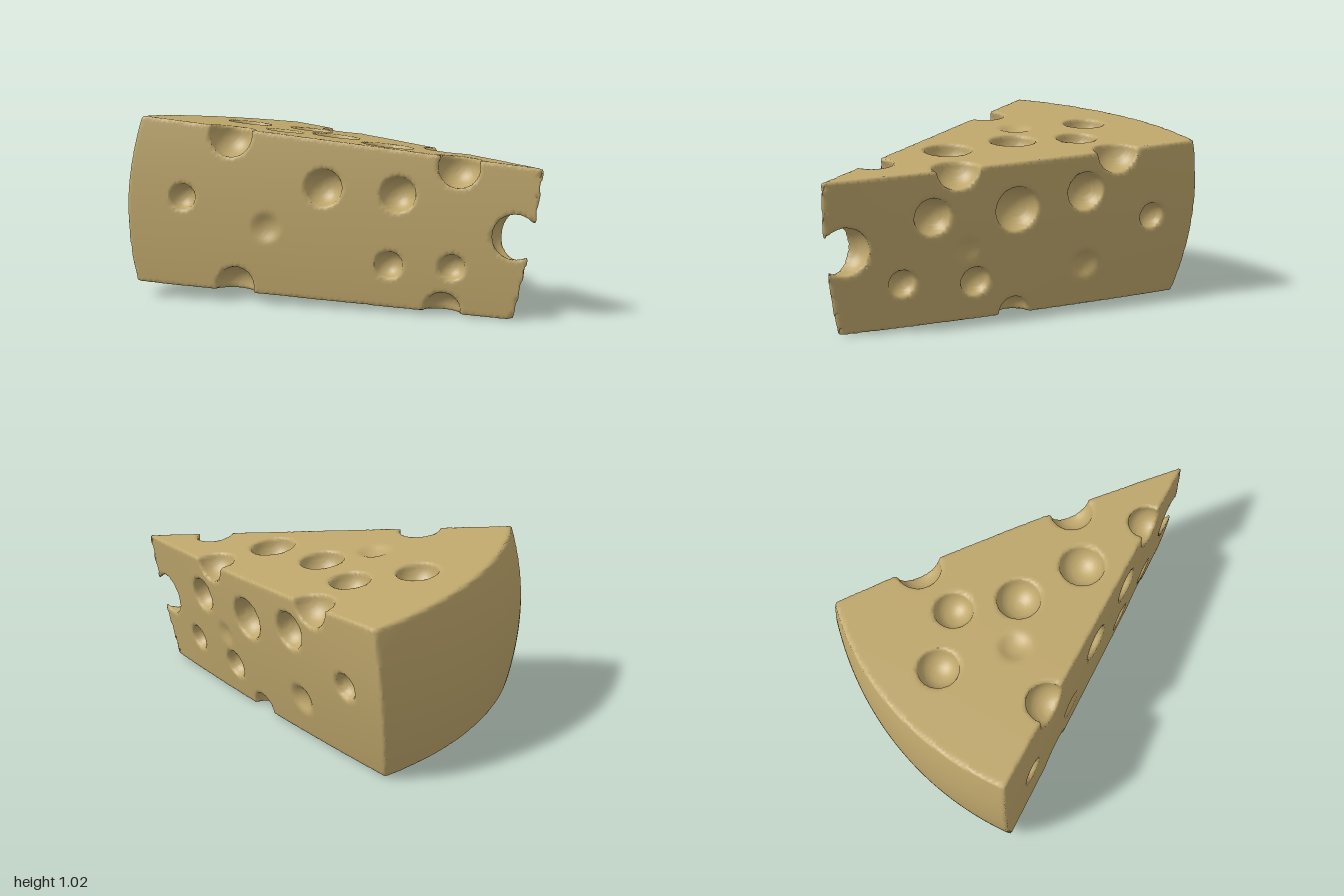
import * as THREE from 'three';

// Flat sides of the wedge as [nx, ny, nz, offset]; the whole block leans a little
const plane = (nx, ny, nz, d) => {
  const l = Math.hypot(nx, ny, nz);
  return [nx / l, ny / l, nz / l, d / l];
};
const TOP = plane(0.118, 1, 0, 0.914);
const BOTTOM = plane(-0.06, -1, 0.022, -0.032);
const FRONT = plane(-0.583, 0.045, 1, 0.4925);
const RIGHT = plane(1, -0.135, -0.385, 0.491);

// How far the cut sides swell out from their planes
function swell(side, y, z) {
  const v = ((y - 0.5) / 0.45) ** 2;
  if (side === FRONT) return -0.021 * v;
  if (side === RIGHT) return 0.028 * Math.max(0, 1 - z * z) + (0.5 - 0.5 * z) * (0.014 - 0.032 * v);
  return 0;
}

// Bubbles: [x, y, z, radius]
const holes = [];
// Puts a bubble on a side, lifted out along its normal; a lifted one leaves a shallow dent
function bubble(side, x, y, z, r, lift = 0) {
  const [nx, ny, nz, d] = side;
  const move = d - (nx * x + ny * y + nz * z) + swell(side, y, z) + lift;
  holes.push([x + nx * move, y + ny * move, z + nz * move, r]);
}

// Front side: x, y, radius, lift
for (const [x, y, r, lift] of [
  [-0.715, 0.58, 0.072], [-0.02, 0.66, 0.1], [0.33, 0.64, 0.094], [0.285, 0.26, 0.073],
  [0.575, 0.265, 0.068], [-0.3, 0.43, 0.13, 0.105],
]) bubble(FRONT, x, y, 0.4925 + 0.583 * x - 0.045 * y, r, lift);

// Right side: z, y, radius, lift
for (const [z, y, r, lift] of [
  [0.49, 0.585, 0.097], [0.05, 0.59, 0.12], [-0.33, 0.655, 0.105], [-0.73, 0.48, 0.073],
  [0.645, 0.245, 0.072], [0.27, 0.215, 0.08], [-0.34, 0.24, 0.12, 0.085], [0.31, 0.4, 0.13, 0.115],
]) bubble(RIGHT, 0.491 + 0.385 * z + 0.135 * y, y, z, r, lift);

// Top and bottom share one pattern: x, z, radius, lift
for (const [x, z, r, lift] of [
  [-0.212, -0.428, 0.113], [0.135, -0.335, 0.108], [0.182, 0.025, 0.122], [0.37, 0.39, 0.125],
  [-0.11, -0.015, 0.14, 0.11],
]) {
  bubble(TOP, x, 0.914 - 0.118 * x, z, r, lift);
  bubble(BOTTOM, x - 0.01, 0.032 - 0.06 * x, z, r * 0.9, lift && lift * 0.9);
}

// Bubbles that break the edges
holes.push(
  [-0.45, 0.925, 0.14, 0.12], [0.625, 0.79, 0.78, 0.11],
  [-0.45, 0.095, 0.2, 0.105], [0.54, 0.03, 0.78, 0.095],
  [0.73, 0.835, 0.36, 0.12], [0.41, 0.865, -0.52, 0.125],
  [0.535, 0.015, 0.05, 0.084], [0.885, 0.44, 0.925, 0.125],
);

// Maximum with a softly rounded crease
function softMax(a, b, k) {
  const h = Math.max(k - Math.abs(a - b), 0);
  return Math.max(a, b) + (h * h) / (4 * k);
}

// Signed distance to the cheese, negative inside
function field(x, y, z) {
  // Barrel-shaped rind
  const radius = 1.73 - 0.29 * (y - 0.59) ** 2;
  let d = Math.hypot(x - 0.535 - 0.06 * (y - 0.5), z - 0.69) - radius;
  for (const side of [TOP, BOTTOM, FRONT, RIGHT]) {
    const [nx, ny, nz, o] = side;
    d = softMax(d, nx * x + ny * y + nz * z - o - swell(side, y, z), 0.01);
  }
  for (const [hx, hy, hz, r] of holes) {
    const cut = r - Math.hypot(x - hx, y - hy, z - hz);
    if (cut > d - 0.015) d = softMax(d, cut, 0.015);
  }
  return d;
}

// Skins the field: one vertex per crossed cell, one quad per crossed grid edge
function skin(step, min, size) {
  const [nx, ny, nz] = size;
  const stride = [1, nx, nx * ny];
  const values = new Float32Array(nx * ny * nz);
  const at = (i, a) => min[a] + i * step;
  for (let k = 0, n = 0; k < nz; k++)
    for (let j = 0; j < ny; j++)
      for (let i = 0; i < nx; i++) values[n++] = field(at(i, 0), at(j, 1), at(k, 2));

  const positions = [], indices = [];
  const cellVertex = new Int32Array(values.length).fill(-1);
  const e = 0.002;
  for (let k = 0; k < nz - 1; k++)
    for (let j = 0; j < ny - 1; j++)
      for (let i = 0; i < nx - 1; i++) {
        const cell = i + j * stride[1] + k * stride[2];
        const p = [0, 0, 0];
        let count = 0;
        // Average the crossings on the twelve cell edges
        for (let c = 0; c < 8; c++) {
          const o = [c & 1, (c >> 1) & 1, c >> 2];
          const n = cell + o[0] + o[1] * stride[1] + o[2] * stride[2];
          for (let a = 0; a < 3; a++) {
            if (o[a]) continue;
            const v = values[n], w = values[n + stride[a]];
            if ((v < 0) === (w < 0)) continue;
            for (let b = 0; b < 3; b++) p[b] += o[b] + (b === a ? v / (v - w) : 0);
            count++;
          }
        }
        if (!count) continue;
        let [x, y, z] = [i, j, k].map((g, a) => at(g + p[a] / count, a));
        // Pull the vertex onto the surface
        for (let s = 0; s < 3; s++) {
          const f = field(x, y, z);
          const gx = (field(x + e, y, z) - field(x - e, y, z)) / (2 * e);
          const gy = (field(x, y + e, z) - field(x, y - e, z)) / (2 * e);
          const gz = (field(x, y, z + e) - field(x, y, z - e)) / (2 * e);
          const t = (0.8 * f) / Math.max(gx * gx + gy * gy + gz * gz, 0.3);
          x -= gx * t;
          y -= gy * t;
          z -= gz * t;
        }
        cellVertex[cell] = positions.length / 3;
        positions.push(x, y, z);
      }

  for (let k = 1; k < nz - 1; k++)
    for (let j = 1; j < ny - 1; j++)
      for (let i = 1; i < nx - 1; i++) {
        const n = i + j * stride[1] + k * stride[2];
        for (let a = 0; a < 3; a++) {
          const inside = values[n] < 0;
          if (inside === values[n + stride[a]] < 0) continue;
          const sb = stride[(a + 1) % 3], sc = stride[(a + 2) % 3];
          const [q0, q1, q2, q3] = [n - sb - sc, n - sc, n, n - sb].map((c) => cellVertex[c]);
          if (inside) indices.push(q0, q1, q2, q0, q2, q3);
          else indices.push(q0, q2, q1, q0, q3, q2);
        }
      }

  const geometry = new THREE.BufferGeometry();
  geometry.setAttribute('position', new THREE.Float32BufferAttribute(positions, 3));
  geometry.setIndex(indices);
  geometry.computeVertexNormals();
  return geometry;
}

export function createModel() {
  const group = new THREE.Group();
  group.name = 'cheeseWedge';
  const cheese = new THREE.MeshStandardMaterial({ color: 0xbfa76c });
  cheese.name = 'cheese';
  const wedge = new THREE.Mesh(skin(0.0165, [-1.05, -0.05, -1.05], [128, 70, 128]), cheese);
  wedge.name = 'wedge';
  group.add(wedge);
  return group;
}
